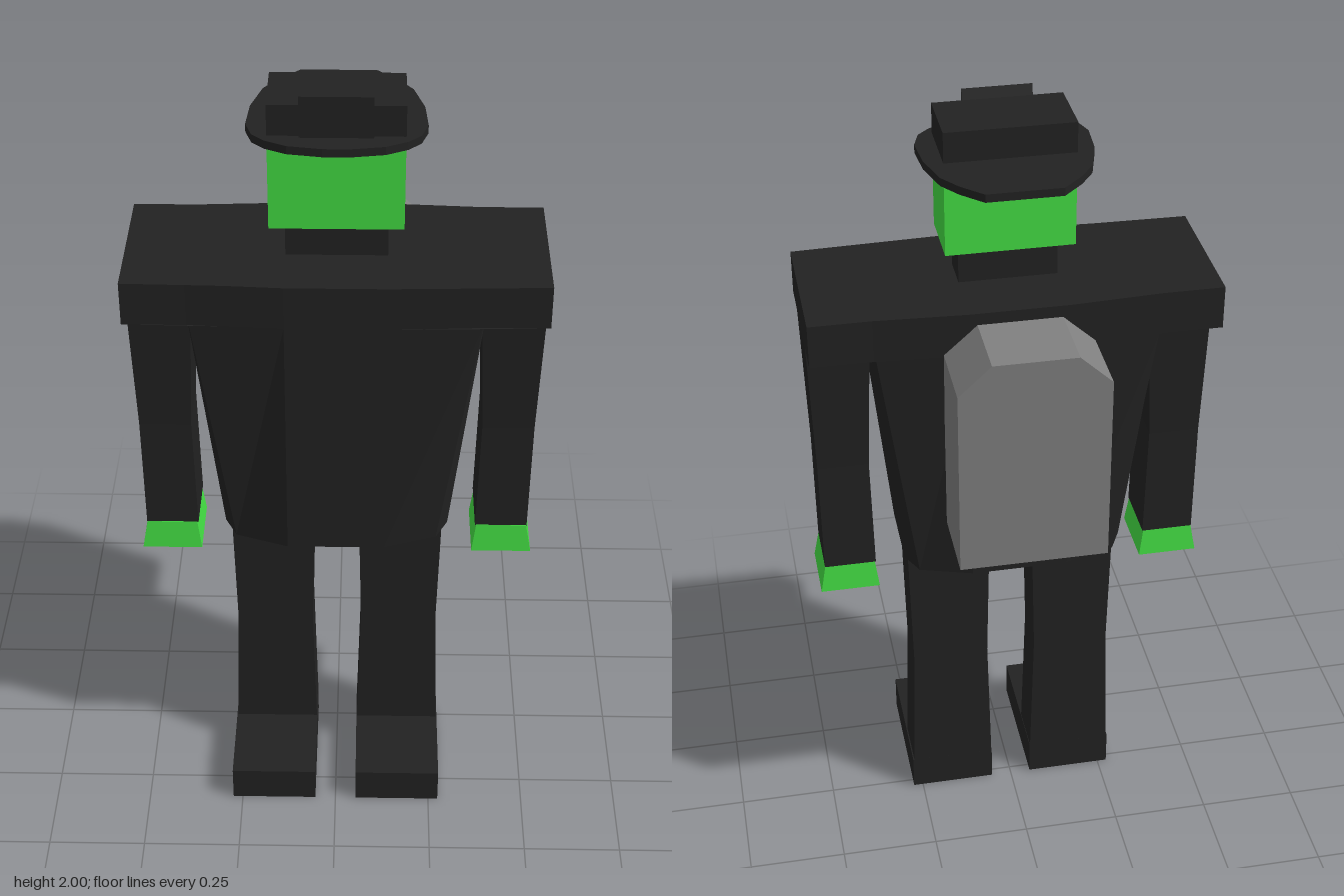
import * as THREE from 'three';

const material = (color) => new THREE.MeshStandardMaterial({ color, flatShading: true });

// Horizontal rectangle as a ring of [x, z] corners.
function rect(xa, xb, z0, z1) {
  const x0 = Math.min(xa, xb), x1 = Math.max(xa, xb);
  return [[x1, z1], [x1, z0], [x0, z0], [x0, z1]];
}

// Closes a front-to-back outline on the +x side with its mirror image.
function symmetric(half) {
  return [...half, ...half.map(([x, z]) => [-x, z]).reverse()];
}

// Capped solid through convex rings, listed from bottom to top as [y, ring].
function loft(sections) {
  const n = sections[0][1].length;
  const positions = [], index = [];
  for (const [y, ring] of sections) for (const [x, z] of ring) positions.push(x, y, z);
  for (let s = 0; s < sections.length - 1; s++) {
    for (let i = 0; i < n; i++) {
      const a = s * n + i, b = s * n + (i + 1) % n;
      index.push(a, b, b + n, a, b + n, a + n);
    }
  }
  const top = (sections.length - 1) * n;
  for (let i = 1; i < n - 1; i++) {
    index.push(0, i + 1, i);
    index.push(top, top + i, top + i + 1);
  }
  const geometry = new THREE.BufferGeometry();
  geometry.setAttribute('position', new THREE.Float32BufferAttribute(positions, 3));
  geometry.setIndex(index);
  const flat = geometry.toNonIndexed();
  flat.computeVertexNormals();
  return flat;
}

export function createModel() {
  const model = new THREE.Group();
  const cloth = material(0x222222);
  const skin = material(0x44e044);
  const grey = material(0x808080);

  const add = (name, geometry, mat, parent = model) => {
    const mesh = new THREE.Mesh(geometry, mat);
    mesh.name = name;
    parent.add(mesh);
    return mesh;
  };
  const block = (x0, x1, y0, y1, z0, z1) =>
    loft([[y0, rect(x0, x1, z0, z1)], [y1, rect(x0, x1, z0, z1)]]);

  // Coat: tapered body below a wide shoulder slab
  const hem = symmetric([[0.12, 0.255], [0.25, 0.21], [0.28, 0.15], [0.28, -0.04], [0.25, -0.1], [0.12, -0.14]]);
  const chest = symmetric([[0.12, 0.255], [0.34, 0.242], [0.345, 0.22], [0.345, -0.105], [0.34, -0.127], [0.12, -0.14]]);
  add('torso', loft([[0.815, hem], [1.46, chest]]), cloth);
  const yoke = symmetric([[0.12, 0.255], [0.345, 0.242], [0.497, 0.242], [0.497, -0.127], [0.345, -0.127], [0.12, -0.14]]);
  add('shoulders', loft([[1.46, yoke], [1.57, yoke]]), cloth);

  // Limbs on both sides
  for (const [s, side] of [[1, 'left'], [-1, 'right']]) {
    const arm = new THREE.Group();
    arm.name = side + 'Arm';
    model.add(arm);
    add(side + 'Sleeve', loft([
      [0.795, rect(s * 0.352, s * 0.483, -0.018, 0.137)],
      [1.1, rect(s * 0.358, s * 0.486, -0.018, 0.135)],
      [1.46, rect(s * 0.343, s * 0.497, -0.028, 0.15)],
    ]), cloth, arm);
    add(side + 'Hand', loft([
      [0.72, rect(s * 0.345, s * 0.496, -0.022, 0.146)],
      [0.797, rect(s * 0.355, s * 0.482, -0.016, 0.138)],
    ]), skin, arm);

    const leg = new THREE.Group();
    leg.name = side + 'Leg';
    model.add(leg);
    add(side + 'Trouser', loft([
      [0.09, rect(s * 0.055, s * 0.272, -0.022, 0.107)],
      [0.46, rect(s * 0.064, s * 0.262, -0.02, 0.103)],
      [0.82, rect(s * 0.056, s * 0.27, -0.02, 0.103)],
    ]), cloth, leg);
    add(side + 'Foot', block(s * 0.054, s * 0.275, 0, 0.095, -0.022, 0.325), cloth, leg);
  }

  // Neck and head
  add('neck', block(-0.12, 0.12, 1.56, 1.67, 0.015, 0.105), cloth);
  add('head', block(-0.156, 0.156, 1.663, 1.885, -0.02, 0.146), skin);

  // Cap: rounded brim, block crown and an upright front plate
  const cap = new THREE.Group();
  cap.name = 'cap';
  model.add(cap);
  const brim = symmetric([[0.03, 0.208], [0.11, 0.195], [0.16, 0.17], [0.19, 0.14], [0.206, 0.09],
    [0.2, 0], [0.175, -0.09], [0.14, -0.14], [0.09, -0.19]]);
  add('brim', loft([[1.88, brim], [1.9, brim]]), cloth, cap);
  add('crown', block(-0.156, 0.156, 1.895, 1.975, -0.02, 0.146), cloth, cap);
  add('capPlate', loft([
    [1.9, rect(-0.084, 0.084, 0.14, 0.155)],
    [1.97, rect(-0.084, 0.084, 0.144, 0.155)],
    [2.0, rect(-0.084, 0.084, 0.153, 0.155)],
  ]), cloth, cap);

  // Backpack: box with its upper side edges cut off
  const pack = new THREE.Shape([[-0.182, 0.975], [0.182, 0.975], [0.182, 1.465], [0.102, 1.54], [-0.102, 1.54], [-0.182, 1.465]]
    .map(([x, y]) => new THREE.Vector2(x, y)));
  const packGeometry = new THREE.ExtrudeGeometry(pack, { depth: 0.2, bevelEnabled: false });
  packGeometry.translate(0, 0, -0.326);
  add('backpack', packGeometry, grey);

  return model;
}
